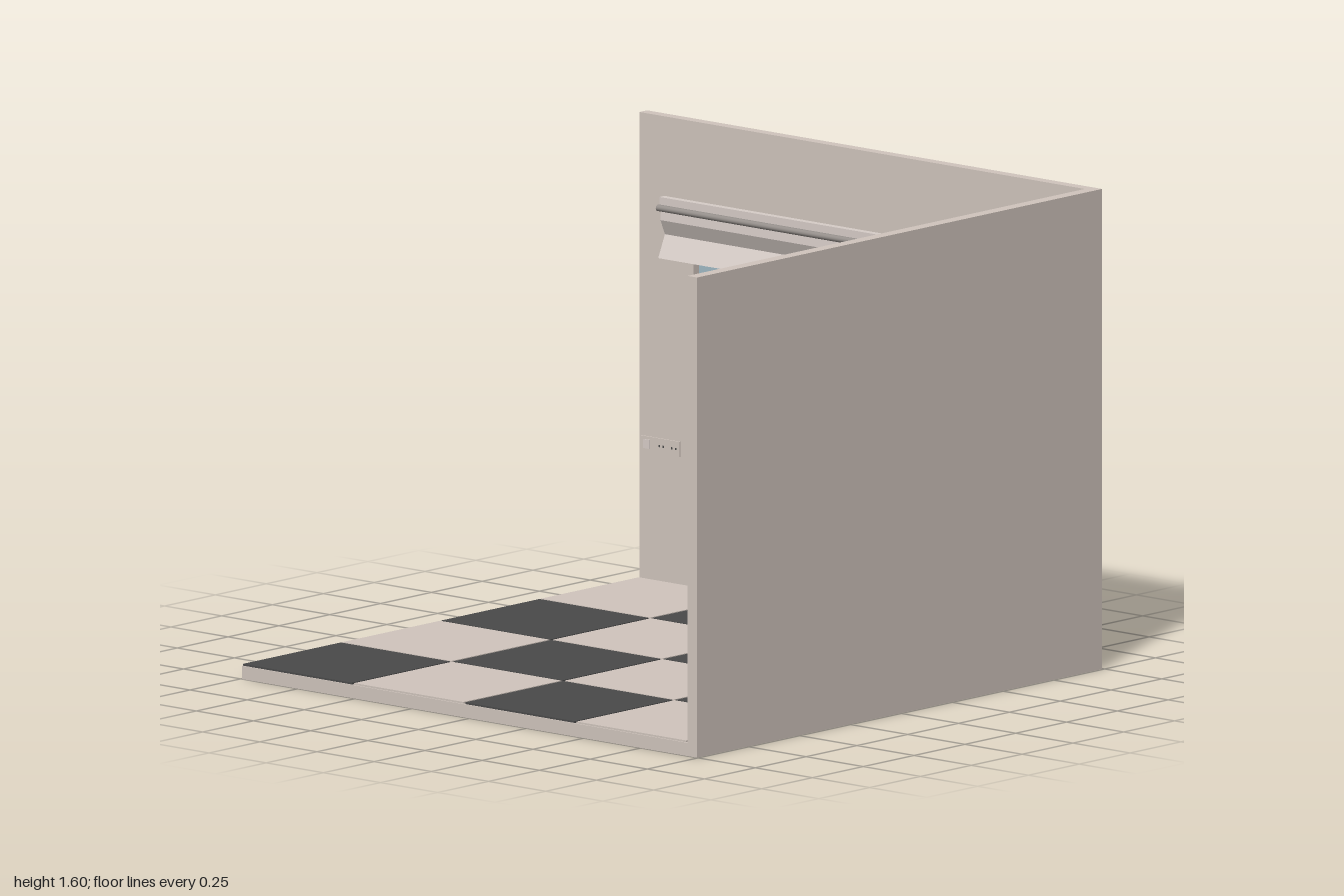
import * as THREE from 'three';

const mat = (name, color, extra = {}) => {
  const m = new THREE.MeshStandardMaterial({ color, ...extra });
  m.name = name;
  return m;
};

export function createModel() {
  const plaster = mat('plaster', 0xd1c6be);
  const darkTile = mat('dark tile', 0x4a4a4a);
  const glass = mat('window glass', 0xa1bac5);
  const fabric = mat('blind fabric', 0xd8cec9);
  const metal = mat('blind rail grey', 0x96908c);

  const room = new THREE.Group();
  room.name = 'room';

  const add = (name, geometry, material, parent = room) => {
    const mesh = new THREE.Mesh(geometry, material);
    mesh.name = name;
    parent.add(mesh);
    return mesh;
  };
  // Box given by its lower and upper corners
  const box = (name, [x0, y0, z0], [x1, y1, z1], material, parent) => {
    const g = new THREE.BoxGeometry(x1 - x0, y1 - y0, z1 - z0);
    g.translate((x0 + x1) / 2, (y0 + y1) / 2, (z0 + z1) / 2);
    return add(name, g, material, parent);
  };
  const rect = (T, x0, y0, x1, y1) => new T([
    new THREE.Vector2(x0, y0), new THREE.Vector2(x1, y0),
    new THREE.Vector2(x1, y1), new THREE.Vector2(x0, y1),
  ]);
  // Upright panel with the window opening cut through it
  const panel = (name, outer, z0, z1, material) => {
    const shape = rect(THREE.Shape, ...outer);
    shape.holes.push(rect(THREE.Path, -0.757, 0.6, -0.075, 1.2));
    const g = new THREE.ExtrudeGeometry(shape, { depth: z1 - z0, bevelEnabled: false });
    g.translate(0, 0, z0);
    return add(name, g, material);
  };

  // Floor slab and walls
  box('floorSlab', [-0.995, 0, -0.955], [0.953, 0.044, 1], plaster);
  box('sideWall', [0.953, 0, -0.955], [0.995, 1.6, 1], plaster);
  panel('backWall', [-0.995, 0, 0.995, 1.6], -0.993, -0.955, plaster);

  // Checkered tiles with narrow grooves between them
  const tiles = new THREE.Group();
  tiles.name = 'floorTiles';
  room.add(tiles);
  for (let i = 0; i < 4; i++) {
    for (let j = 0; j < 4; j++) {
      const x = -0.995 + i * 0.4865, z = -0.953 + j * 0.489;
      box('tile', [x, 0.044, z], [x + 0.478, 0.05, z + 0.481],
        (i + j) % 2 ? darkTile : plaster, tiles);
    }
  }

  // Window pane and the thin surround on the outside
  box('windowGlass', [-0.757, 0.6, -0.988], [-0.075, 1.2, -0.982], glass);
  panel('windowSurround', [-0.805, 0.555, -0.028, 1.255], -1, -0.993, plaster);

  // Blind: head rail, roller, folded fabric and pull cord
  const blind = new THREE.Group();
  blind.name = 'windowBlind';
  room.add(blind);
  box('headRail', [-0.885, 1.31, -0.955], [0.08, 1.335, -0.93], fabric, blind);
  const roller = new THREE.CylinderGeometry(0.011, 0.011, 0.965, 12);
  roller.rotateZ(Math.PI / 2);
  roller.translate(-0.4025, 1.3, -0.923);
  add('roller', roller, metal, blind);
  box('rollerBracket', [-0.885, 1.29, -0.955], [0.08, 1.31, -0.925], metal, blind);

  // Fabric profile as (z, y), front line down then back line up
  const front = [[-0.926, 1.29], [-0.924, 1.26], [-0.946, 1.21], [-0.913, 1.135]];
  const back = front.map(([z, y]) => [z - 0.006, y]).reverse();
  const profile = new THREE.Shape([...front, ...back].map(([z, y]) => new THREE.Vector2(-z, y)));
  const cloth = new THREE.ExtrudeGeometry(profile, { depth: 0.94, bevelEnabled: false });
  cloth.rotateY(Math.PI / 2);
  cloth.translate(-0.875, 0, 0);
  add('blindFabric', cloth, fabric, blind);

  const cord = new THREE.CylinderGeometry(0.003, 0.003, 0.59, 6);
  cord.translate(0.073, 1.0, -0.93);
  add('pullCord', cord, darkTile, blind);

  // Wall plate with a rocker switch and two sockets
  const plate = new THREE.Group();
  plate.name = 'wallPlate';
  room.add(plate);
  box('plate', [-0.985, 0.475, -0.955], [-0.815, 0.525, -0.95], plaster, plate);
  box('rocker', [-0.97, 0.485, -0.95], [-0.943, 0.515, -0.946], fabric, plate);
  for (const x of [-0.902, -0.885, -0.848, -0.83]) {
    box('socketHole', [x - 0.003, 0.496, -0.95], [x + 0.003, 0.503, -0.949], darkTile, plate);
  }

  return room;
}
